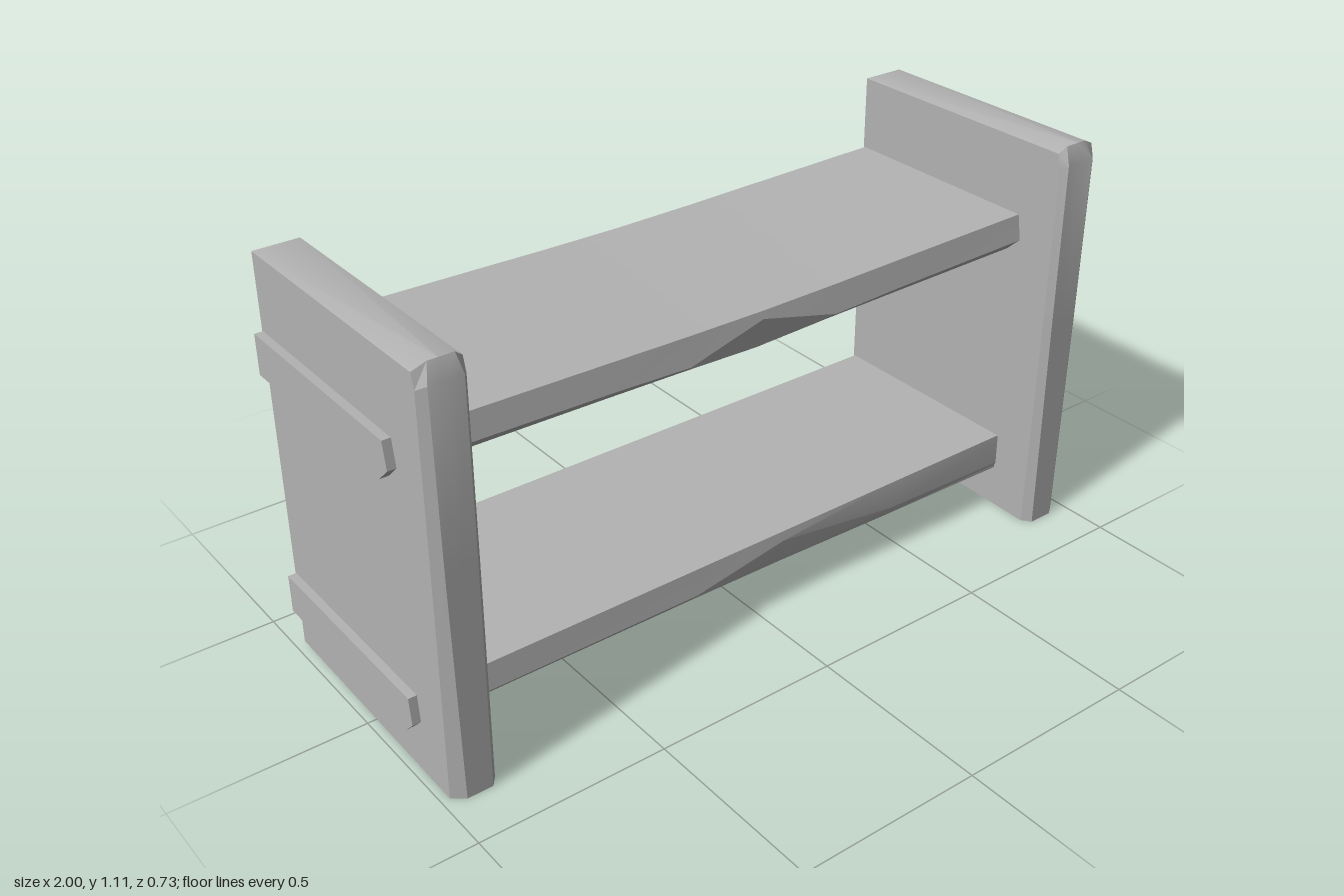
import * as THREE from 'three';
import { toCreasedNormals } from 'three/addons/utils/BufferGeometryUtils.js';

// Closed solid through convex rings of [x, y, z]; caps fan out from one ring point
function loft(rings, capIndex = 0) {
  const n = rings[0].length;
  const index = [];
  for (let r = 0; r < rings.length - 1; r++) {
    for (let i = 0; i < n; i++) {
      const j = (i + 1) % n;
      const a = r * n + i, b = r * n + j, c = a + n, d = b + n;
      index.push(a, b, d, a, d, c);
    }
  }
  const last = (rings.length - 1) * n;
  for (let k = 1; k < n - 1; k++) {
    const i = (capIndex + k) % n, j = (capIndex + k + 1) % n;
    index.push(capIndex, j, i, last + capIndex, last + i, last + j);
  }
  // Turn the faces outward whatever the ring direction
  const pts = rings.flat().map((p) => new THREE.Vector3(...p));
  let volume = 0;
  for (let t = 0; t < index.length; t += 3) {
    const [a, b, c] = [pts[index[t]], pts[index[t + 1]], pts[index[t + 2]]];
    volume += a.dot(b.clone().cross(c));
  }
  if (volume < 0) index.reverse();
  const geometry = new THREE.BufferGeometry().setFromPoints(pts);
  geometry.setIndex(index);
  return toCreasedNormals(geometry, 0.4);
}

// Upright end panel with worn front corners and a ridged top
function panelGeometry(inner, outer) {
  const mid = (inner + outer) / 2;
  const s = Math.sign(outer - inner);
  const ring = (yBack, ySide, yFront, zFront, cut) => [
    [inner, yBack, -0.365],
    [outer, yBack, -0.365],
    [outer, ySide, 0.365 - cut],
    [outer - s * cut * 1.3, yFront, zFront],
    [mid, yFront, zFront],
    [inner + s * cut * 0.8, yFront, zFront],
    [inner, ySide, 0.365 - cut],
  ];
  return loft([
    ring(0.01, 0, 0, 0.365, 0.024),
    ring(0.6, 0.6, 0.6, 0.365, 0.018),
    ring(1.05, 1.05, 1.06, 0.365, 0.016),
    ring(1.085, 1.088, 1.105, 0.346, 0.026),
  ], 4);
}

// Shelf sections along x: [x, bottom, top, nose height, z where the underside bevel starts, nose z]
function shelfGeometry(sections) {
  return loft(sections.map(([x, bottom, top, nose, zBevel, zNose]) => [
    [x, top, -0.36],
    [x, bottom, -0.36],
    [x, bottom, zBevel],
    [x, nose, zNose],
    [x, top, 0.228],
  ]));
}

export function createModel() {
  const group = new THREE.Group();
  const wood = new THREE.MeshStandardMaterial({ color: 0xb3b3b3 });
  wood.name = 'plain grey';

  const add = (name, geometry) => {
    const mesh = new THREE.Mesh(geometry, wood);
    mesh.name = name;
    group.add(mesh);
  };

  add('rightEndPanel', panelGeometry(-0.86, -0.978));
  add('leftEndPanel', panelGeometry(0.852, 0.972));

  // Upper shelf sags and is worn at the middle of its front edge
  add('upperShelf', shelfGeometry([
    [-1.0, 0.782, 0.888, 0.82, 0.2, 0.24],
    [-0.43, 0.773, 0.878, 0.808, 0.2, 0.24],
    [-0.22, 0.769, 0.874, 0.8, 0.2, 0.24],
    [0, 0.766, 0.872, 0.852, 0.205, 0.232],
    [0.22, 0.769, 0.874, 0.8, 0.2, 0.24],
    [0.43, 0.773, 0.878, 0.808, 0.2, 0.24],
    [0.995, 0.782, 0.888, 0.82, 0.2, 0.24],
  ]));

  // Lower shelf bevel fades to a square edge at one end
  add('lowerShelf', shelfGeometry([
    [-1.0, 0.117, 0.221, 0.15, 0.203, 0.236],
    [-0.2, 0.115, 0.221, 0.15, 0.203, 0.236],
    [0.08, 0.115, 0.221, 0.195, 0.206, 0.232],
    [0.45, 0.116, 0.221, 0.145, 0.217, 0.232],
    [0.985, 0.117, 0.221, 0.13, 0.228, 0.229],
  ]));

  return group;
}
